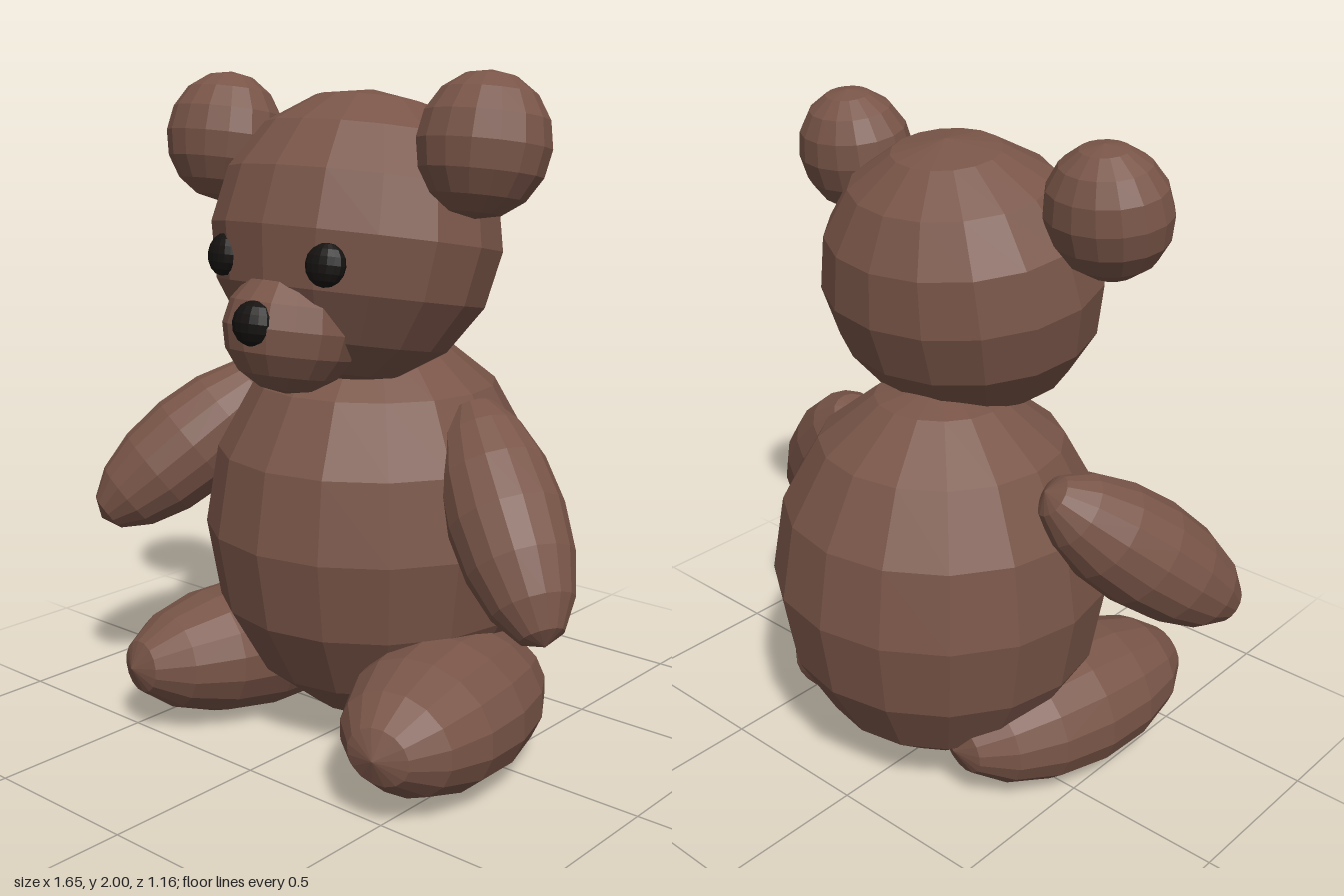
import * as THREE from 'three';

const fur = new THREE.MeshStandardMaterial({ color: 0x795548, flatShading: true });
const black = new THREE.MeshStandardMaterial({ color: 0x151210, flatShading: true });
const UP = new THREE.Vector3(0, 1, 0);
const TILT = -0.17; // the head leans back slightly

// Low-poly ellipsoid with its poles on local y
function ellipsoid(name, pos, radii, mat = fur, tilt = 0) {
  const geo = new THREE.SphereGeometry(1, 16, 8);
  geo.scale(...radii);
  const mesh = new THREE.Mesh(geo, mat);
  mesh.name = name;
  mesh.position.set(...pos);
  mesh.rotation.x = tilt;
  return mesh;
}

// Ellipsoid whose long axis points along dir
function limb(name, pos, radii, dir) {
  const mesh = ellipsoid(name, pos, radii);
  mesh.quaternion.setFromUnitVectors(UP, new THREE.Vector3(...dir).normalize());
  return mesh;
}

export function createModel() {
  const bear = new THREE.Group();
  bear.name = 'teddyBear';

  bear.add(ellipsoid('body', [0, 0.65, -0.06], [0.52, 0.62, 0.52]));

  // Head with ears and face, set a little to the left
  const head = new THREE.Group();
  head.name = 'head';
  head.position.x = 0.065;
  head.add(ellipsoid('skull', [0, 1.535, 0.1], [0.445, 0.42, 0.39], fur, TILT));
  head.add(ellipsoid('muzzle', [0, 1.3, 0.37], [0.195, 0.18, 0.195], fur, TILT));
  head.add(ellipsoid('nose', [0.012, 1.335, 0.525], [0.07, 0.066, 0.058], black, TILT));
  for (const [side, s] of [['left', 1], ['right', -1]]) {
    head.add(ellipsoid(side + 'Ear', [s * 0.482, 1.81, 0.15], [0.19, 0.193, 0.163], fur, TILT));
    const eye = ellipsoid(side + 'Eye', [s * 0.192, 1.5, 0.443], [0.06, 0.06, 0.036], black, TILT);
    eye.rotation.y = s * 0.2;
    head.add(eye);
  }
  bear.add(head);

  // Arms: the right one reaches further forward
  bear.add(limb('leftArm', [0.575, 0.78, 0.05], [0.165, 0.38, 0.17], [0.575, -0.76, 0.31]));
  bear.add(limb('rightArm', [-0.595, 0.83, 0.15], [0.17, 0.38, 0.17], [-0.45, -0.61, 0.65]));

  // Legs stretched forward and turned out
  bear.add(limb('leftLeg', [0.44, 0.21, 0.135], [0.25, 0.445, 0.208], [0.2, 0.03, 1]));
  bear.add(limb('rightLeg', [-0.35, 0.21, 0.135], [0.24, 0.445, 0.208], [-0.2, 0.03, 1]));

  return bear;
}
